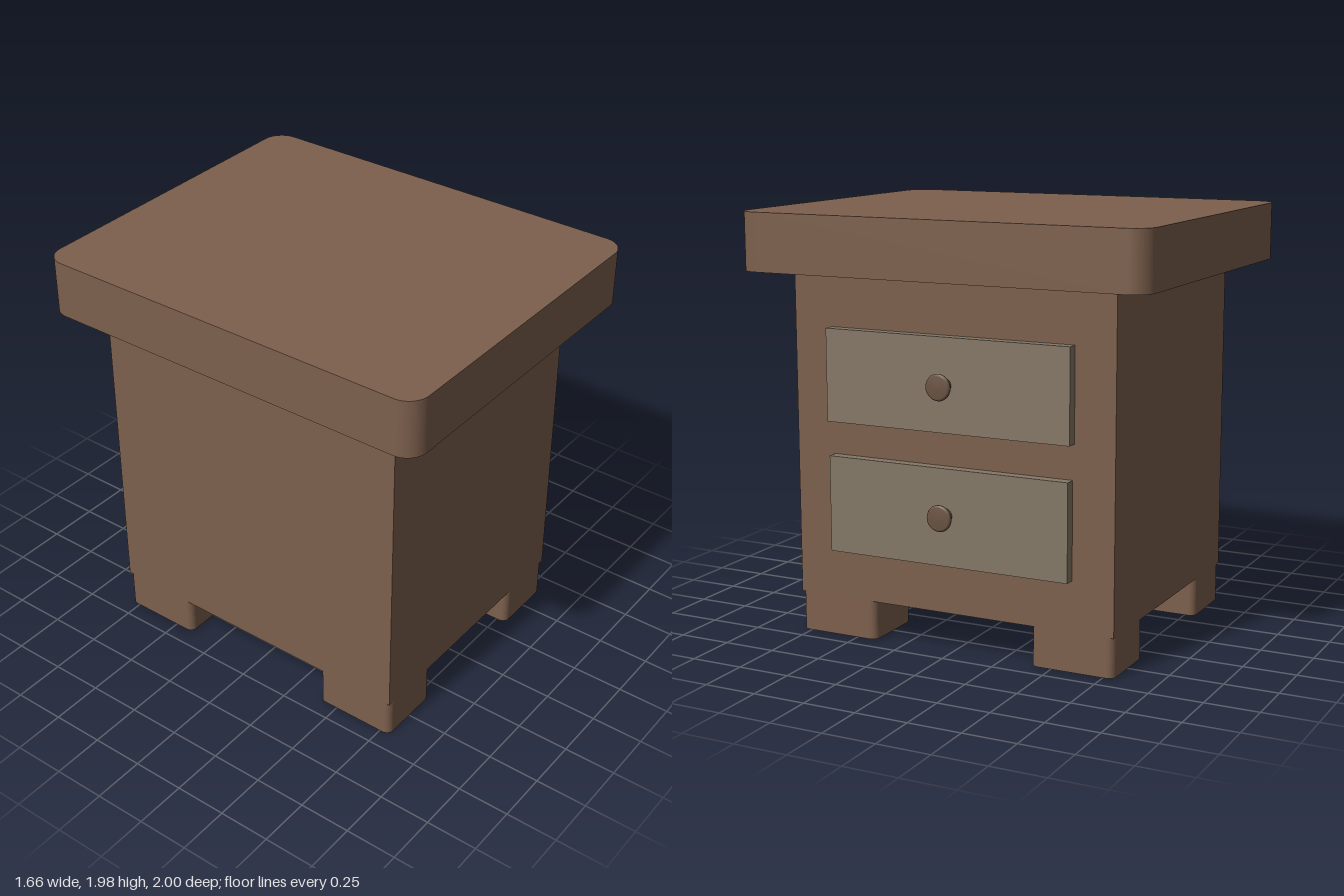
import * as THREE from 'three';

const wood = new THREE.MeshStandardMaterial({ color: 0x7d604d });
const panel = new THREE.MeshStandardMaterial({ color: 0x857866 });
const knobWood = new THREE.MeshStandardMaterial({ color: 0x6b5444 });

// Upright slab with rounded vertical corners, standing on y = 0
function roundedSlab(width, depth, height, r) {
  const x = width / 2, z = depth / 2;
  const s = new THREE.Shape();
  s.moveTo(-x + r, -z);
  s.lineTo(x - r, -z);
  s.absarc(x - r, -z + r, r, -Math.PI / 2, 0);
  s.lineTo(x, z - r);
  s.absarc(x - r, z - r, r, 0, Math.PI / 2);
  s.lineTo(-x + r, z);
  s.absarc(-x + r, z - r, r, Math.PI / 2, Math.PI);
  s.lineTo(-x, -z + r);
  s.absarc(-x + r, -z + r, r, Math.PI, Math.PI * 1.5);
  const geometry = new THREE.ExtrudeGeometry(s, { depth: height, bevelEnabled: false, curveSegments: 10 });
  return geometry.rotateX(-Math.PI / 2);
}

export function createModel() {
  const model = new THREE.Group();
  model.name = 'nightstand';

  function add(name, geometry, material, x, y, z, parent = model) {
    const mesh = new THREE.Mesh(geometry, material);
    mesh.name = name;
    mesh.position.set(x, y, z);
    parent.add(mesh);
    return mesh;
  }

  // Overhanging top and cabinet body
  add('top', roundedSlab(1.656, 2, 0.27, 0.1), wood, 0, 1.71, 0);
  add('body', new THREE.BoxGeometry(1.325, 1.525, 1.6), wood, -0.002, 0.9475, 0);

  // Four square feet with softened corners
  const foot = roundedSlab(0.33, 0.4, 0.186, 0.035);
  for (const sx of [-1, 1]) {
    for (const sz of [-1, 1]) add('foot', foot, wood, sx * 0.4975 - 0.002, 0, sz * 0.6);
  }

  // Turned knob: flared base, thin neck, domed disc
  const profile = [
    [0, 0], [0.036, 0], [0.034, 0.005], [0.027, 0.012], [0.024, 0.022], [0.024, 0.036],
    [0.03, 0.044], [0.054, 0.046], [0.06, 0.051], [0.061, 0.057], [0.058, 0.064], [0.05, 0.068], [0, 0.07],
  ].map(([r, h]) => new THREE.Vector2(r, h));
  const knob = new THREE.LatheGeometry(profile, 32).rotateZ(-Math.PI / 2);

  // Two drawers on the +x side
  const drawers = [
    { name: 'upperDrawer', y: 1.245, height: 0.43, width: 1.215, knobY: 1.245 },
    { name: 'lowerDrawer', y: 0.645, height: 0.45, width: 1.2, knobY: 0.655 },
  ];
  for (const d of drawers) {
    const group = new THREE.Group();
    group.name = d.name;
    add('drawerFront', new THREE.BoxGeometry(0.07, d.height, d.width), panel, 0.677, d.y, 0, group);
    add('knob', knob, knobWood, 0.711, d.knobY, 0, group);
    model.add(group);
  }
  return model;
}
